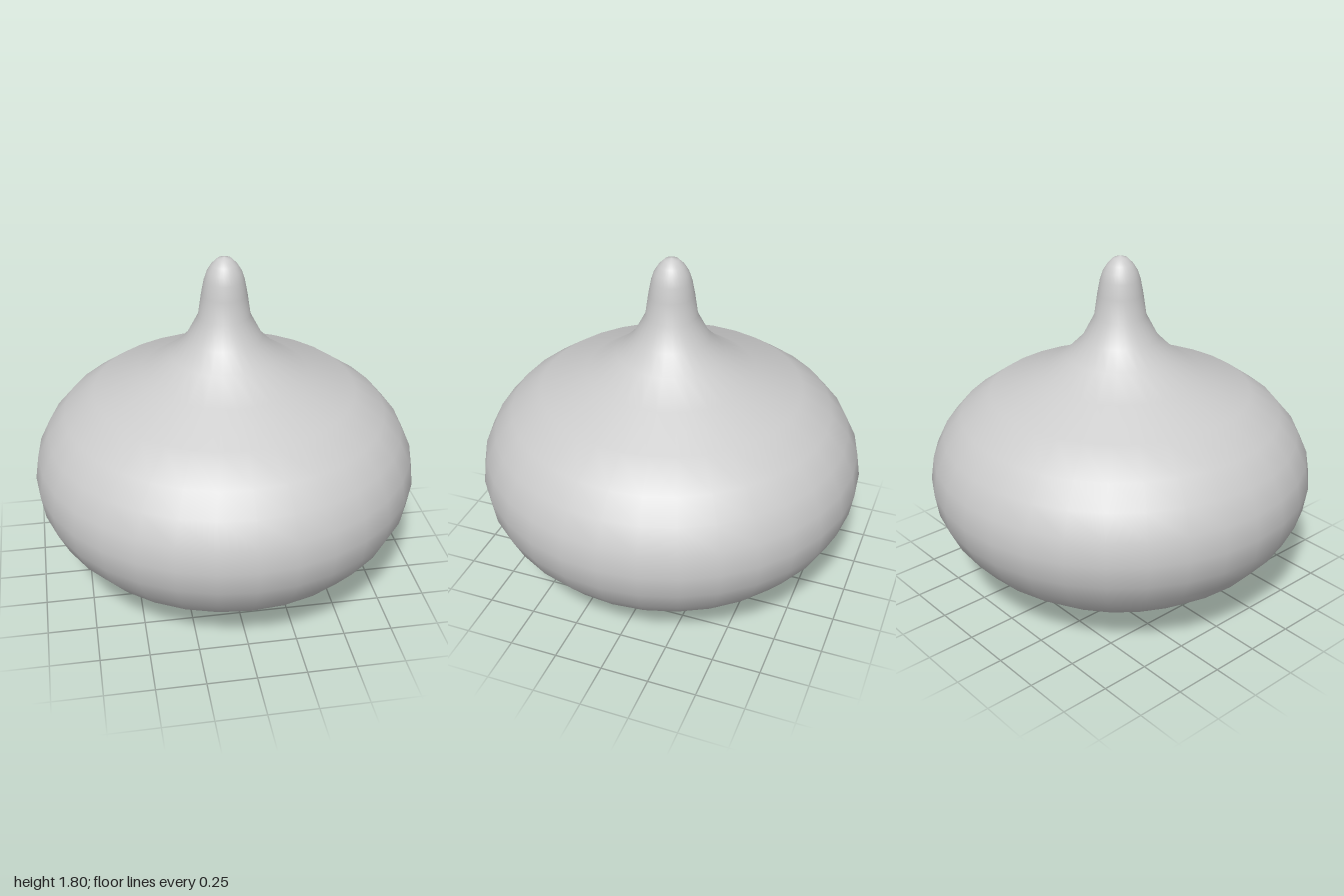
import * as THREE from 'three';

export function createModel() {
  const group = new THREE.Group();
  const material = new THREE.MeshStandardMaterial({ color: 0xcccccc });

  // Squashed round belly: elliptical arc from the bottom pole up to the shoulder
  const profile = [];
  for (let i = 0; i <= 11; i++) {
    const a = (i / 16) * Math.PI;
    profile.push(new THREE.Vector2(Math.sin(a), 0.638 - 0.632 * Math.cos(a)));
  }

  // Shoulder flaring in to a slim stem with a rounded tip
  const neck = [
    [0.675, 1.1], [0.435, 1.19], [0.28, 1.295], [0.195, 1.38], [0.132, 1.5],
    [0.116, 1.61], [0.102, 1.685], [0.087, 1.73], [0.065, 1.765], [0.035, 1.795], [0, 1.805],
  ];
  for (const [r, y] of neck) profile.push(new THREE.Vector2(r, y));

  const body = new THREE.Mesh(new THREE.LatheGeometry(profile, 32), material);
  body.name = 'bulbBody';
  group.add(body);
  return group;
}
